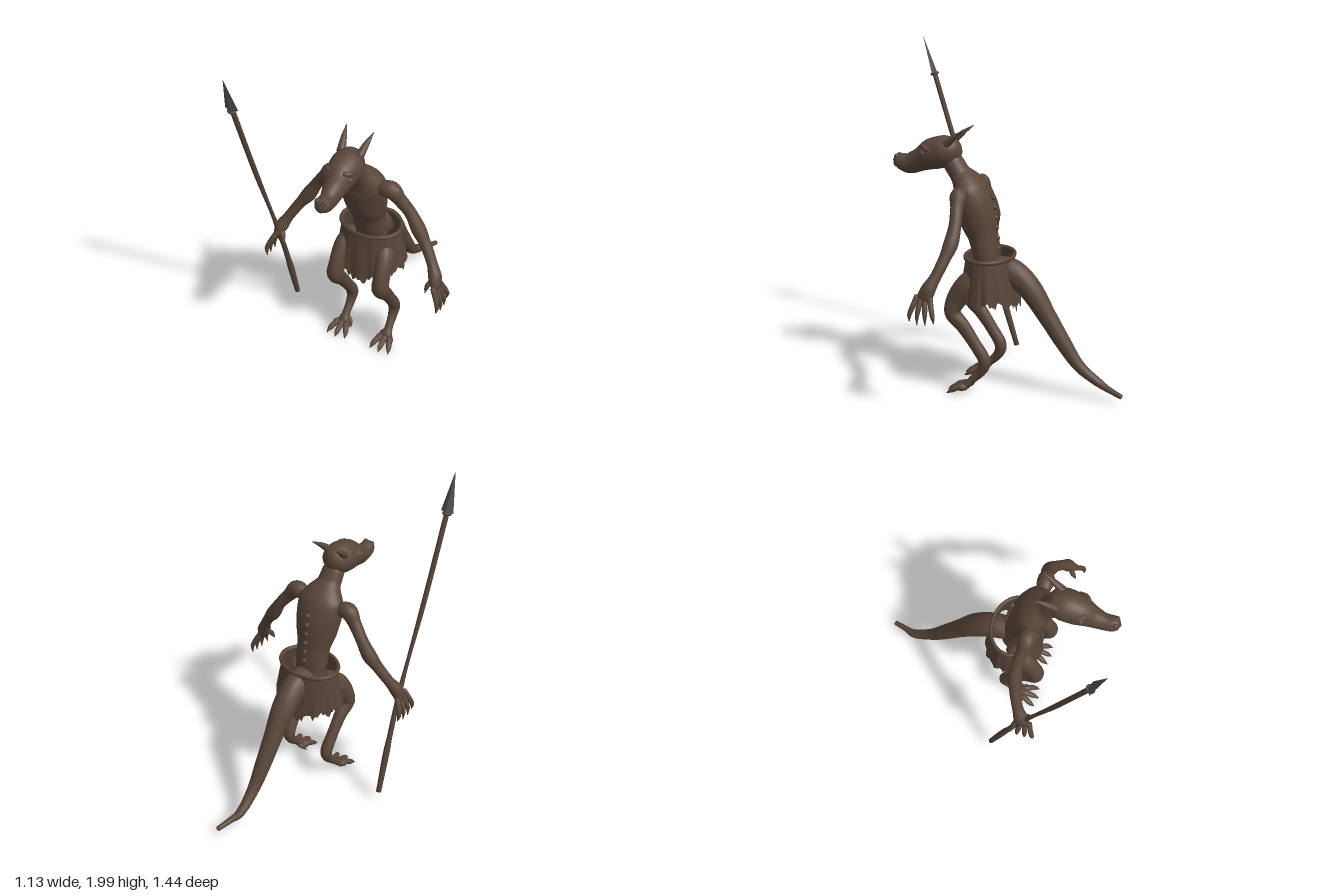
import * as THREE from 'three';

const hide = new THREE.MeshStandardMaterial({ color: 0x594639 });
hide.name = 'brown hide';
const cloth = new THREE.MeshStandardMaterial({ color: 0x564438, side: THREE.DoubleSide });
cloth.name = 'brown cloth';
const wood = new THREE.MeshStandardMaterial({ color: 0x57453a });
wood.name = 'brown wood';
const steel = new THREE.MeshStandardMaterial({ color: 0x505250 });
steel.name = 'dark steel';

const X = new THREE.Vector3(1, 0, 0), Z = new THREE.Vector3(0, 0, 1);

// Smooth closed limb through stations [x, y, z, half width along ref, other half width]
function loft(pts, ref = X, sides = 16, per = 5, round = 0.5) {
  const path = new THREE.CatmullRomCurve3(pts.map(p => new THREE.Vector3(p[0], p[1], p[2])));
  const size = new THREE.CatmullRomCurve3(pts.map(p => new THREE.Vector3(p[3], p[4] ?? p[3], 0)));
  const rings = (pts.length - 1) * per, pos = [], idx = [];
  for (let i = 0; i <= rings; i++) {
    const c = path.getPoint(i / rings), r = size.getPoint(i / rings), t = path.getTangent(i / rings);
    const side = ref.clone().addScaledVector(t, -ref.dot(t)).normalize();
    const up = t.clone().cross(side);
    for (let j = 0; j < sides; j++) {
      const a = j / sides * Math.PI * 2;
      const v = c.clone().addScaledVector(side, Math.cos(a) * r.x).addScaledVector(up, Math.sin(a) * r.y);
      pos.push(v.x, v.y, v.z);
      if (i < rings) {
        const p = i * sides + j, q = i * sides + (j + 1) % sides;
        idx.push(p, q, p + sides, q, q + sides, p + sides);
      }
    }
  }
  // Rounded end caps
  for (const [u, dir, first] of [[0, -1, 0], [1, 1, rings * sides]]) {
    const r = size.getPoint(u);
    const v = path.getPoint(u).addScaledVector(path.getTangent(u), dir * round * Math.min(r.x, r.y));
    const pole = pos.length / 3;
    pos.push(v.x, v.y, v.z);
    for (let j = 0; j < sides; j++) {
      const p = first + j, q = first + (j + 1) % sides;
      if (dir < 0) idx.push(pole, q, p); else idx.push(pole, p, q);
    }
  }
  const g = new THREE.BufferGeometry();
  g.setAttribute('position', new THREE.Float32BufferAttribute(pos, 3));
  g.setIndex(idx);
  g.computeVertexNormals();
  return g;
}

// Tattered skirt: folds grow towards a torn hem
function skirtGeometry() {
  const cols = 96, rows = 6, pos = [], idx = [];
  for (let i = 0; i <= rows; i++) {
    const v = i / rows;
    for (let j = 0; j <= cols; j++) {
      const k = j % cols, a = k / cols * Math.PI * 2;
      const s = Math.sin(a);
      const tear = Math.abs(Math.sin(k * 1.9) * Math.sin(k * 0.47 + 1)) * 0.05;
      const drop = s > 0 ? 0.07 * s ** 8 : 0.05 * s ** 6;
      const y = 0.81 + (0.585 - drop - tear - 0.81) * v;
      const fold = 1 + 0.025 * v * Math.sin(a * 13) + 0.012 * v * Math.sin(a * 22 + 1);
      pos.push(Math.cos(a) * (0.18 + 0.033 * v) * fold, y, 0.1 + s * (0.135 + 0.04 * v) * fold);
      if (i < rows && j < cols) {
        const p = i * (cols + 1) + j, q = p + cols + 1;
        idx.push(p, p + 1, q, p + 1, q + 1, q);
      }
    }
  }
  const g = new THREE.BufferGeometry();
  g.setAttribute('position', new THREE.Float32BufferAttribute(pos, 3));
  g.setIndex(idx);
  g.computeVertexNormals();
  return g;
}

export function createModel() {
  const model = new THREE.Group();
  model.name = 'spearCreature';
  const add = (name, geo, mat = hide, parent = model) => {
    const m = new THREE.Mesh(geo, mat);
    m.name = name;
    parent.add(m);
    return m;
  };
  const ball = (name, x, y, z, r, mat = hide, parent = model) => {
    const m = add(name, new THREE.SphereGeometry(r, 14, 10), mat, parent);
    m.position.set(x, y, z);
    return m;
  };

  // Torso and neck
  add('torso', loft([
    [0, 0.7, 0.1, 0.1, 0.08], [0, 0.82, 0.12, 0.1, 0.08], [0, 0.92, 0.14, 0.103, 0.085],
    [0, 1.01, 0.165, 0.125, 0.105], [0, 1.11, 0.188, 0.14, 0.11], [0, 1.19, 0.215, 0.145, 0.1],
    [0, 1.24, 0.245, 0.115, 0.08], [0, 1.29, 0.285, 0.072, 0.06], [0, 1.35, 0.325, 0.066, 0.06],
    [0, 1.4, 0.36, 0.066, 0.06]], X, 28));
  for (let i = 0; i < 6; i++) ball('spineBump', 0, 0.86 + i * 0.06, 0.048 + i * 0.006, 0.015);

  // Head and snout
  add('head', loft([
    [0, 1.41, 0.285, 0.04, 0.045], [0, 1.412, 0.315, 0.075, 0.075], [0, 1.407, 0.38, 0.093, 0.094],
    [0, 1.388, 0.45, 0.088, 0.092], [0, 1.348, 0.53, 0.063, 0.068], [0, 1.322, 0.6, 0.047, 0.06],
    [0, 1.333, 0.66, 0.045, 0.046], [0, 1.335, 0.685, 0.032, 0.034]], X, 28));

  // Tail
  add('tail', loft([
    [0, 0.75, 0.07, 0.07, 0.06], [0, 0.725, -0.03, 0.073, 0.08], [0, 0.645, -0.135, 0.072, 0.07],
    [0, 0.47, -0.255, 0.056, 0.054], [0, 0.325, -0.35, 0.048, 0.046], [0, 0.19, -0.45, 0.036, 0.034],
    [0, 0.1, -0.575, 0.027, 0.024], [0.02, 0.08, -0.63, 0.019, 0.018], [0.048, 0.056, -0.715, 0.015, 0.014]], X, 18));

  // Paired parts
  for (const s of [1, -1]) {
    const side = new THREE.Group();
    side.name = s > 0 ? 'leftSide' : 'rightSide';
    model.add(side);
    const limb = (name, pts, ref, sides, per) =>
      add(name, loft(pts.map(([x, ...r]) => [x * s, ...r]), ref, sides, per), hide, side);

    // Ear, brow, eye and nostril
    limb('ear', [[0.055, 1.46, 0.345, 0.026, 0.024], [0.068, 1.51, 0.29, 0.018, 0.015], [0.083, 1.555, 0.228, 0.002]], X, 12);
    limb('brow', [[0.045, 1.445, 0.5, 0.012], [0.068, 1.435, 0.475, 0.016], [0.083, 1.42, 0.435, 0.01]], X, 10);
    ball('eye', s * 0.069, 1.403, 0.484, 0.017, steel, side);
    ball('nostril', s * 0.022, 1.362, 0.67, 0.015, hide, side);

    // Arm
    limb('arm', [
      [0.12, 1.185, 0.22, 0.04, 0.04], [0.185, 1.195, 0.22, 0.05, 0.052], [0.235, 1.14, 0.212, 0.037, 0.039],
      [0.295, 1.06, 0.2, 0.036, 0.034], [0.35, 0.965, 0.205, 0.042, 0.042], [0.4, 0.895, 0.222, 0.034, 0.032],
      [0.46, 0.8, 0.255, 0.032, 0.03], [0.495, 0.735, 0.285, 0.042, 0.038], [0.515, 0.68, 0.305, 0.046, 0.022]], Z, 16);
    // Fingers with pointed claws, then the thumb
    for (let i = 0; i < 4; i++) {
      const z = 0.268 + i * 0.026, f = (i - 1.5) * 0.014;
      limb('finger', [
        [0.51, 0.7, z, 0.015], [0.537, 0.645, z + f * 0.7, 0.016], [0.553, 0.6, z + f * 1.4, 0.013],
        [0.558 - Math.abs(f) * 0.5, 0.535 + Math.abs(f), z + f * 1.6, 0.002]], Z, 10, 4);
    }
    limb('thumb', [[0.49, 0.72, 0.3, 0.017], [0.467, 0.685, 0.325, 0.015], [0.462, 0.645, 0.345, 0.002]], Z, 10, 4);

    // Leg with backward hock
    limb('leg', [
      [0.1, 0.74, 0.12, 0.05, 0.05], [0.135, 0.66, 0.19, 0.055, 0.07], [0.145, 0.57, 0.255, 0.047, 0.06],
      [0.148, 0.49, 0.28, 0.052, 0.047], [0.147, 0.41, 0.215, 0.037, 0.042], [0.145, 0.31, 0.145, 0.034, 0.036],
      [0.143, 0.205, 0.085, 0.037, 0.036], [0.143, 0.15, 0.1, 0.029, 0.03], [0.145, 0.09, 0.155, 0.024, 0.023],
      [0.147, 0.045, 0.2, 0.036, 0.024]], X, 18);
    for (const d of [-1, 0, 1]) limb('toe', [
      [0.147 + d * 0.018, 0.04, 0.19, 0.018], [0.147 + d * 0.038, 0.04, 0.235, 0.018],
      [0.147 + d * 0.053, 0.024, 0.27 + (d ? 0 : 0.01), 0.015], [0.147 + d * 0.06, 0.006, 0.3 + (d ? 0 : 0.012), 0.002]], X, 10, 4);
    limb('heelClaw', [[0.13, 0.06, 0.165, 0.014], [0.105, 0.04, 0.18, 0.012], [0.095, 0.012, 0.2, 0.002]], X, 8, 4);
  }

  // Skirt and belt
  add('skirt', skirtGeometry(), cloth);
  const belt = add('belt', new THREE.TorusGeometry(0.183, 0.013, 10, 48).rotateX(Math.PI / 2).scale(1, 1, 0.76), cloth);
  belt.position.set(0, 0.814, 0.1);

  // Spear: shaft, collar and flat four-sided blade
  add('spearShaft', loft([
    [-0.52, 0.07, 0.112, 0.016], [-0.51, 0.42, 0.215, 0.016], [-0.503, 0.75, 0.325, 0.015],
    [-0.518, 1.25, 0.487, 0.015], [-0.528, 1.78, 0.652, 0.015]], X, 10, 6, 0.1), wood);
  const head = new THREE.Group();
  head.name = 'spearHead';
  head.position.set(-0.528, 1.77, 0.65);
  head.quaternion.setFromUnitVectors(new THREE.Vector3(0, 1, 0), new THREE.Vector3(0.03, 0.95, 0.29).normalize());
  model.add(head);
  const collar = add('spearCollar', new THREE.TorusGeometry(0.019, 0.008, 8, 16).rotateX(Math.PI / 2), wood, head);
  collar.position.y = -0.005;
  const blade = add('spearBlade', new THREE.ConeGeometry(0.04, 0.235, 4).toNonIndexed().scale(1, 1, 0.45), steel, head);
  blade.geometry.computeVertexNormals();
  blade.position.y = 0.122;

  return model;
}
